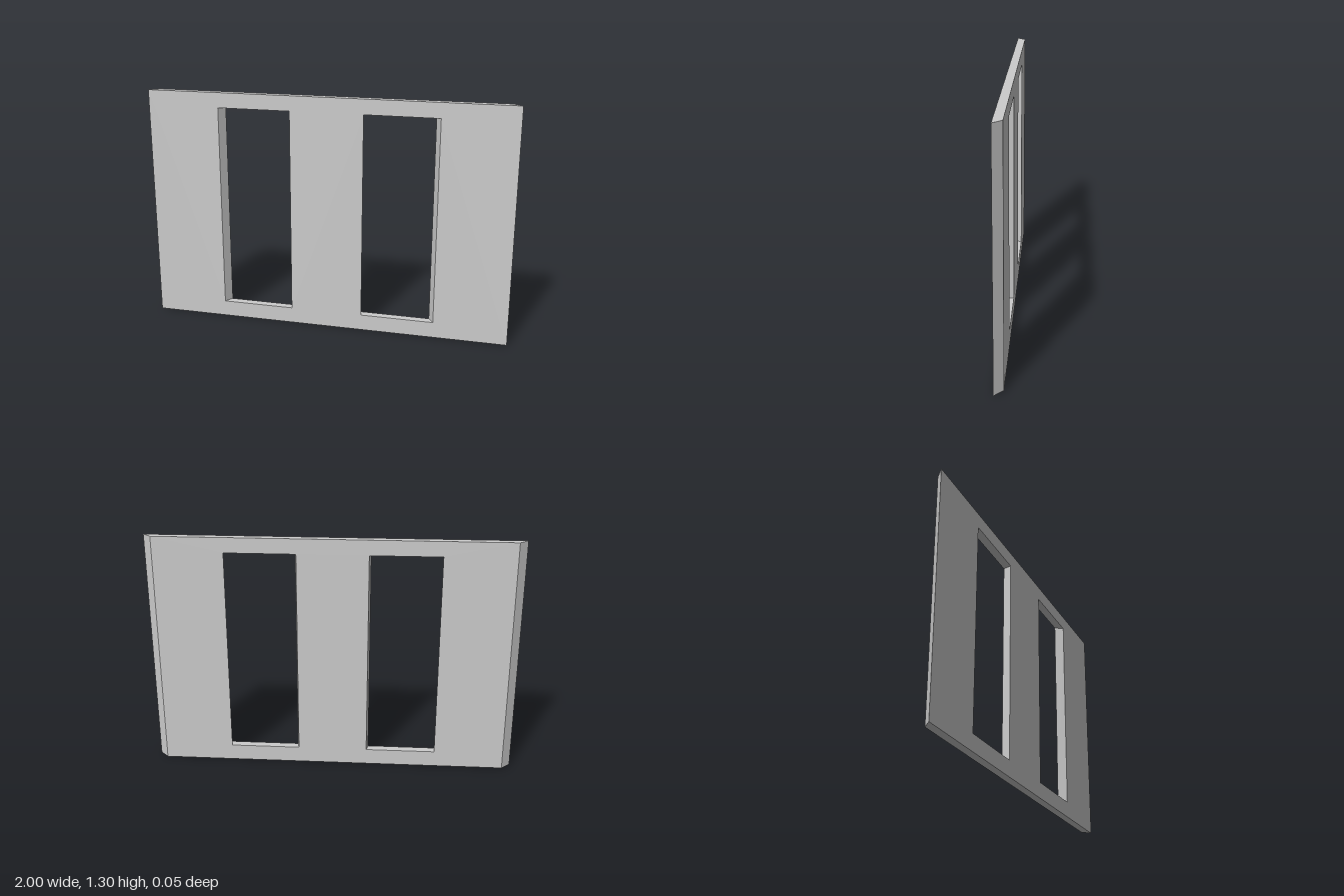
import * as THREE from 'three';

const HEIGHT = 1.296, DEPTH = 0.046;
const BACK_SCALE = 0.952; // the back face is narrower, so ends and jambs slant

function rectangle(path, x0, y0, x1, y1) {
  path.moveTo(x0, y0);
  path.lineTo(x1, y0);
  path.lineTo(x1, y1);
  path.lineTo(x0, y1);
  path.closePath();
  return path;
}

export function createModel() {
  const group = new THREE.Group();
  group.name = 'wallPanel';

  // Wall outline with two tall window openings
  const outline = rectangle(new THREE.Shape(), -1, 0, 1, HEIGHT);
  for (const centre of [-0.4, 0.4]) {
    outline.holes.push(rectangle(new THREE.Path(), centre - 0.2, 0.088, centre + 0.2, 1.214));
  }
  const geometry = new THREE.ExtrudeGeometry(outline, { depth: DEPTH, bevelEnabled: false });
  geometry.translate(0, 0, -DEPTH / 2);

  // Taper the back face towards the centre for mitred ends
  const position = geometry.attributes.position;
  for (let i = 0; i < position.count; i++) {
    if (position.getZ(i) < 0) position.setX(i, position.getX(i) * BACK_SCALE);
  }
  geometry.computeVertexNormals();

  const wall = new THREE.Mesh(
    geometry,
    new THREE.MeshStandardMaterial({ color: 0xcccccc, flatShading: true })
  );
  wall.name = 'wallWithWindowOpenings';
  group.add(wall);
  return group;
}
